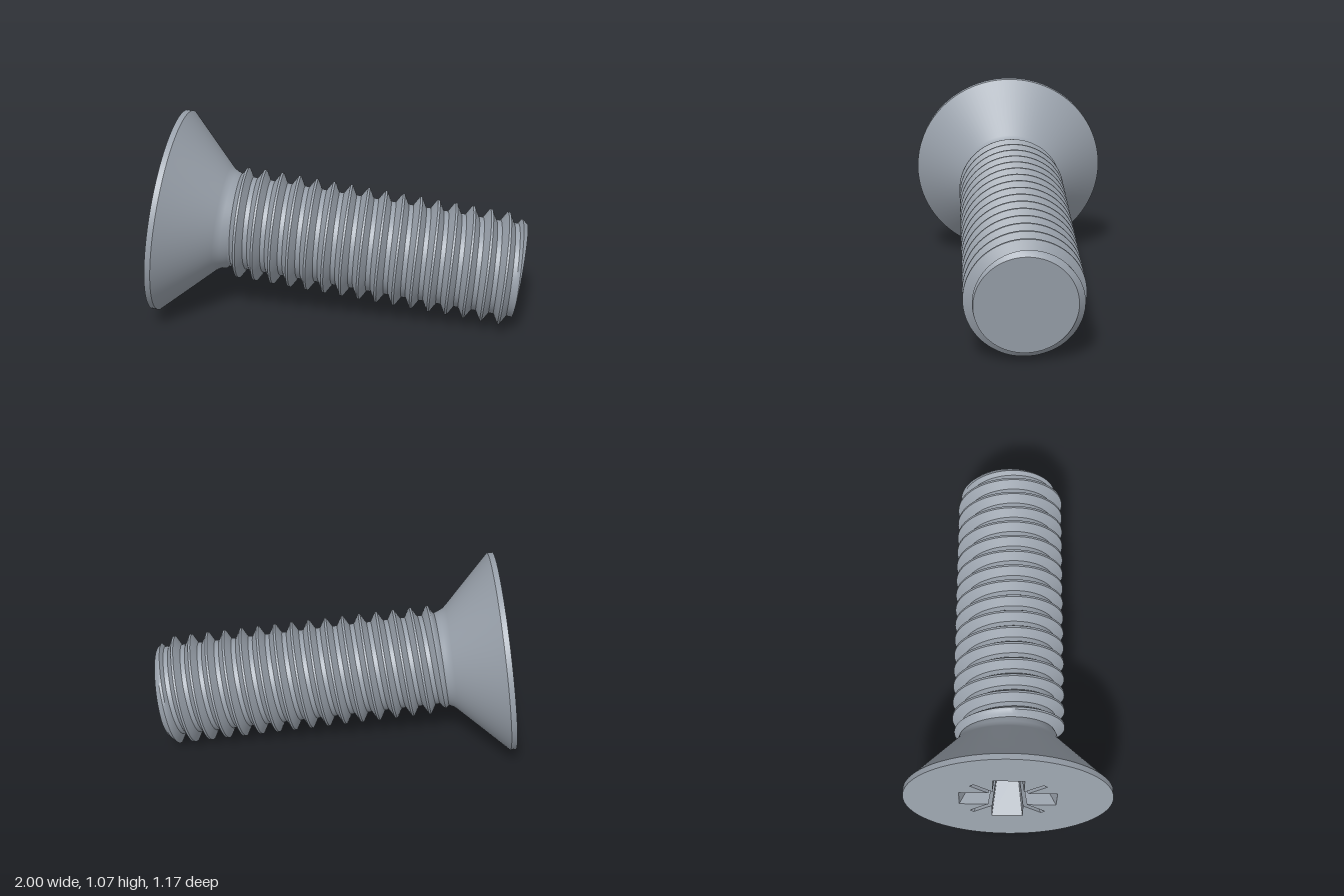
import * as THREE from 'three';
import { toCreasedNormals } from 'three/addons/utils/BufferGeometryUtils.js';

const LENGTH = 1.867, PITCH = 0.0927, ROOT = 0.245, DEPTH = 0.05, HEAD_R = 0.538;
const { clamp, smoothstep } = THREE.MathUtils;

// Radius of the threaded shank at distance t from the head face and angle a
function threadRadius(t, a) {
  const turns = (t - 0.376) / PITCH + a / (2 * Math.PI);
  const off = Math.abs(turns - Math.round(turns));          // 0 crest, 0.5 root
  const height = clamp((0.37 - off) / 0.31, 0, 1);
  const r = ROOT + DEPTH * height * smoothstep(t, 0.29, 0.39);
  return Math.min(r, ROOT + 0.003 + (LENGTH - t) * 0.9);    // chamfered tip
}

// Helical grid whose rows follow the thread crests
function threadGeometry() {
  const segs = 80, start = 0.27;
  const phases = [-0.5, -0.37, -0.21, -0.06, 0, 0.06, 0.21, 0.37];
  const rows = [];
  for (let n = -2; n < 19; n++) for (const p of phases) rows.push(0.376 + (n + p) * PITCH);
  const point = (row, i) => {
    const a = (i / segs) * 2 * Math.PI;
    const t = clamp(row - (PITCH * i) / segs, start, LENGTH);
    const r = threadRadius(t, a);
    return [r * Math.cos(a), t, r * Math.sin(a)];
  };
  const pos = [];
  for (let j = 0; j < rows.length - 1; j++) {
    for (let i = 0; i < segs; i++) {
      const a = point(rows[j], i), b = point(rows[j + 1], i);
      const c = point(rows[j + 1], i + 1), d = point(rows[j], i + 1);
      if (a[1] === b[1] && c[1] === d[1]) continue;
      pos.push(...a, ...b, ...c, ...a, ...c, ...d);
    }
  }
  const geo = new THREE.BufferGeometry();
  geo.setAttribute('position', new THREE.Float32BufferAttribute(pos, 3));
  geo.computeVertexNormals();
  return toCreasedNormals(geo, 0.7);
}

// Repeat one quarter of the recess outline four times around the axis
function outline(quarter) {
  const pts = [];
  for (let k = 0; k < 4; k++)
    for (const [x, y] of quarter)
      pts.push(new THREE.Vector2(x, y).rotateAround(new THREE.Vector2(), (k * Math.PI) / 2));
  return pts;
}

// Tapered side walls between the recess mouth and its floor
function recessWalls(mouth, floor, depth) {
  const pos = [];
  mouth.forEach((a, i) => {
    const k = (i + 1) % mouth.length, b = mouth[k], c = floor[k], d = floor[i];
    pos.push(a.x, a.y, 0, b.x, b.y, 0, c.x, c.y, -depth);
    pos.push(a.x, a.y, 0, c.x, c.y, -depth, d.x, d.y, -depth);
  });
  const geo = new THREE.BufferGeometry();
  geo.setAttribute('position', new THREE.Float32BufferAttribute(pos, 3));
  geo.computeVertexNormals();
  return geo.rotateX(Math.PI / 2);
}

export function createModel() {
  const steel = new THREE.MeshStandardMaterial({ color: 0x9aa2ac });
  steel.name = 'steel';
  const model = new THREE.Group();
  model.name = 'countersunkScrew';
  const add = (name, geo) => {
    const mesh = new THREE.Mesh(geo, steel);
    mesh.name = name;
    model.add(mesh);
  };

  // Conical head with a thin rim and a small fillet into the neck
  const profile = [[HEAD_R, 0], [HEAD_R, 0.03], [0.285, 0.285], [0.272, 0.3], [0.262, 0.32], [0.253, 0.345], [0.24, 0.37]];
  const cone = new THREE.LatheGeometry(profile.map(([r, t]) => new THREE.Vector2(r, t)), 96);
  add('head', toCreasedNormals(cone, 0.6));

  // Flat head face with a cross recess and four diagonal tick slots
  const mouth = outline([[0.25, -0.08], [0.25, 0.08], [0.1, 0.08], [0.195, 0.175], [0.175, 0.195], [0.08, 0.1]]);
  const floor = outline([[0.13, -0.05], [0.13, 0.05], [0.06, 0.05], [0.068, 0.06], [0.06, 0.068], [0.05, 0.06]]);
  const face = new THREE.Shape().absarc(0, 0, HEAD_R, 0, Math.PI * 2);
  face.holes.push(new THREE.Path(mouth));
  add('headFace', new THREE.ShapeGeometry(face, 48).rotateX(Math.PI / 2));
  const depth = 0.22;
  add('recessWalls', recessWalls(mouth, floor, depth));
  add('recessFloor', new THREE.ShapeGeometry(new THREE.Shape(floor)).rotateX(Math.PI / 2).translate(0, depth, 0));

  // Threaded shank and its flat end
  add('thread', threadGeometry());
  add('tip', new THREE.CircleGeometry(ROOT + 0.003, 80).rotateX(-Math.PI / 2).translate(0, LENGTH, 0));

  // Lay the screw down, resting on head rim and tip
  const axis = new THREE.Vector3(1, -0.133, 0.205).normalize();
  const up = new THREE.Vector3(0, 1, 0).addScaledVector(axis, -axis.y).normalize();
  const side = new THREE.Vector3().crossVectors(up, axis);
  model.quaternion.setFromRotationMatrix(new THREE.Matrix4().makeBasis(up, axis, side));
  model.position.set(-0.874, 0.535, -0.065);

  const root = new THREE.Group();
  root.name = 'screw';
  root.add(model);
  return root;
}
